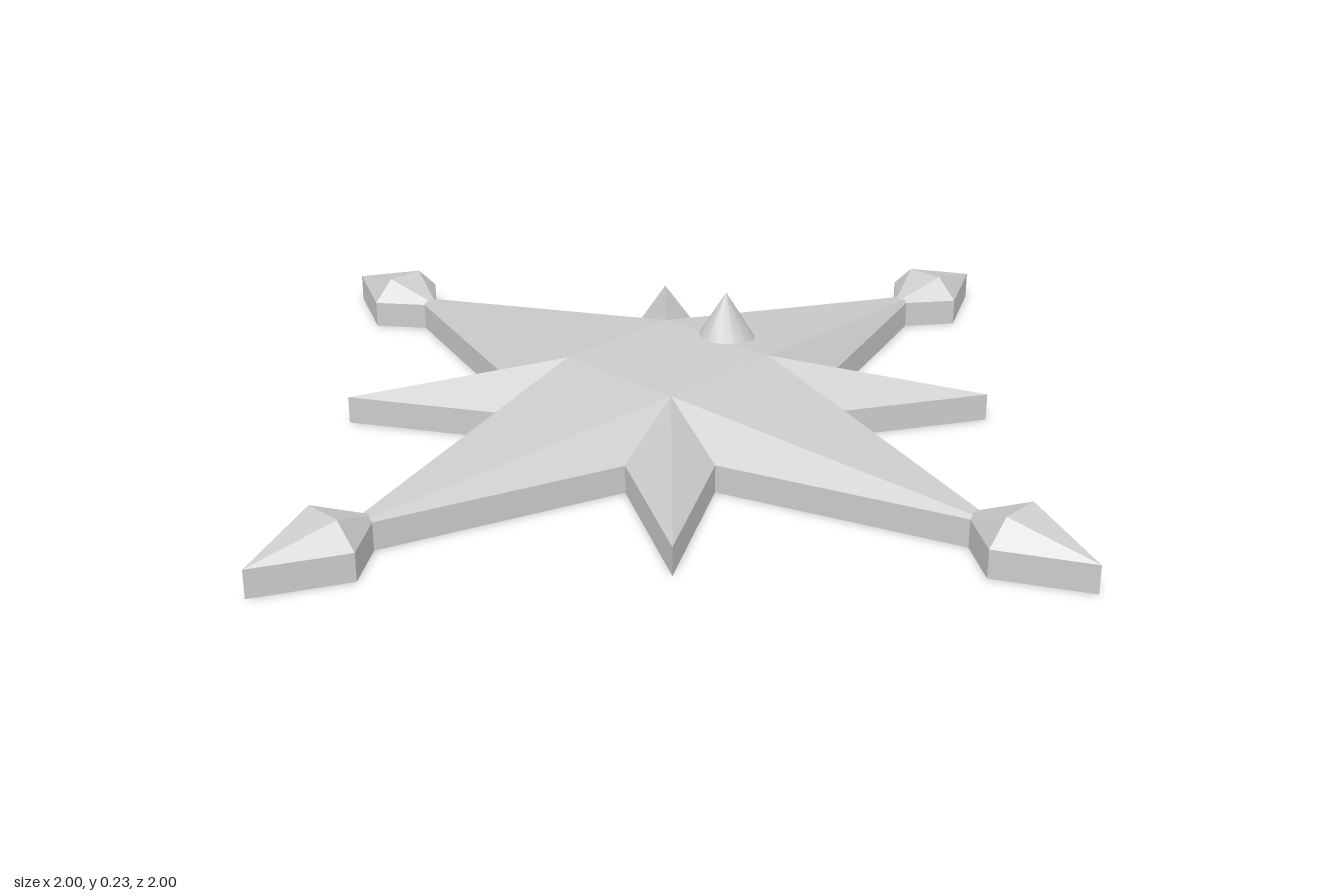
import * as THREE from 'three';

const material = new THREE.MeshStandardMaterial({ color: 0xcccccc, flatShading: true });
const RIM = 0.055; // height of the vertical side walls

// Flat-shaded mesh from triangles and quads given as lists of [x, y, z] corners
function faceted(name, faces) {
  const positions = [];
  for (const f of faces)
    for (let i = 1; i < f.length - 1; i++) positions.push(...f[0], ...f[i], ...f[i + 1]);
  const geometry = new THREE.BufferGeometry();
  geometry.setAttribute('position', new THREE.Float32BufferAttribute(positions, 3));
  geometry.computeVertexNormals();
  const mesh = new THREE.Mesh(geometry, material);
  mesh.name = name;
  return mesh;
}

// Side walls and underside for an outline of [x, z] points running from +x towards +z
function wallsAndBase(outline, centre) {
  const faces = [];
  outline.forEach(([ax, az], i) => {
    const [bx, bz] = outline[(i + 1) % outline.length];
    faces.push([[ax, RIM, az], [bx, RIM, bz], [bx, 0, bz], [ax, 0, az]]);
    faces.push([[ax, 0, az], [bx, 0, bz], [centre[0], 0, centre[1]]]);
  });
  return faces;
}

// Quarter turn about y, repeated k times, from +x towards +z
function turn([x, z], k) {
  for (let i = 0; i < k; i++) [x, z] = [-z, x];
  return [x, z];
}

function createStar() {
  const quarter = [[0.8, 0], [0.285, 0.168], [0.45, 0.45], [0.168, 0.285]];
  const outline = [], corners = [];
  for (let k = 0; k < 4; k++) {
    outline.push(...quarter.map(p => turn(p, k)));
    const [x, z] = turn([0.142, 0.138], k);
    corners.push([x, 0.14, z]);
  }
  const rim = outline.map(([x, z]) => [x, RIM, z]);
  const faces = wallsAndBase(outline, [0, 0]);
  // Raised central plateau
  faces.push([...corners].reverse());
  for (let k = 0; k < 4; k++) {
    // Long ray top, then the slopes around each plateau corner
    faces.push([corners[k], rim[4 * k], corners[(k + 3) % 4]]);
    for (let j = 0; j < 4; j++)
      faces.push([rim[(4 * k + j + 1) % 16], rim[4 * k + j], corners[k]]);
  }
  return faceted('star', faces);
}

function createFinial() {
  const outline = [[1, 0], [0.835, 0.085], [0.725, 0], [0.835, -0.085]];
  const [tip, sideA, inner, sideB] = outline.map(([x, z]) => [x, RIM, z]);
  const ridgeA = [0.835, 0.1, 0.04], ridgeB = [0.835, 0.1, -0.04];
  return faceted('rayTip', [
    ...wallsAndBase(outline, [0.835, 0]),
    [ridgeA, tip, ridgeB], [ridgeB, inner, ridgeA],
    [sideA, tip, ridgeA], [inner, sideA, ridgeA],
    [sideB, inner, ridgeB], [tip, sideB, ridgeB],
  ]);
}

export function createModel() {
  const group = new THREE.Group();
  group.name = 'compassStar';
  group.add(createStar());

  // Diamond at the end of each long ray
  for (let k = 0; k < 4; k++) {
    const finial = createFinial();
    finial.rotation.y = k * Math.PI / 2;
    group.add(finial);
  }

  // Small cone marking the back ray
  const coneMaterial = new THREE.MeshStandardMaterial({ color: 0xcccccc });
  const cone = new THREE.Mesh(new THREE.ConeGeometry(0.064, 0.105, 12), coneMaterial);
  cone.name = 'marker';
  cone.position.set(0, 0.1775, -0.167);
  group.add(cone);
  return group;
}
